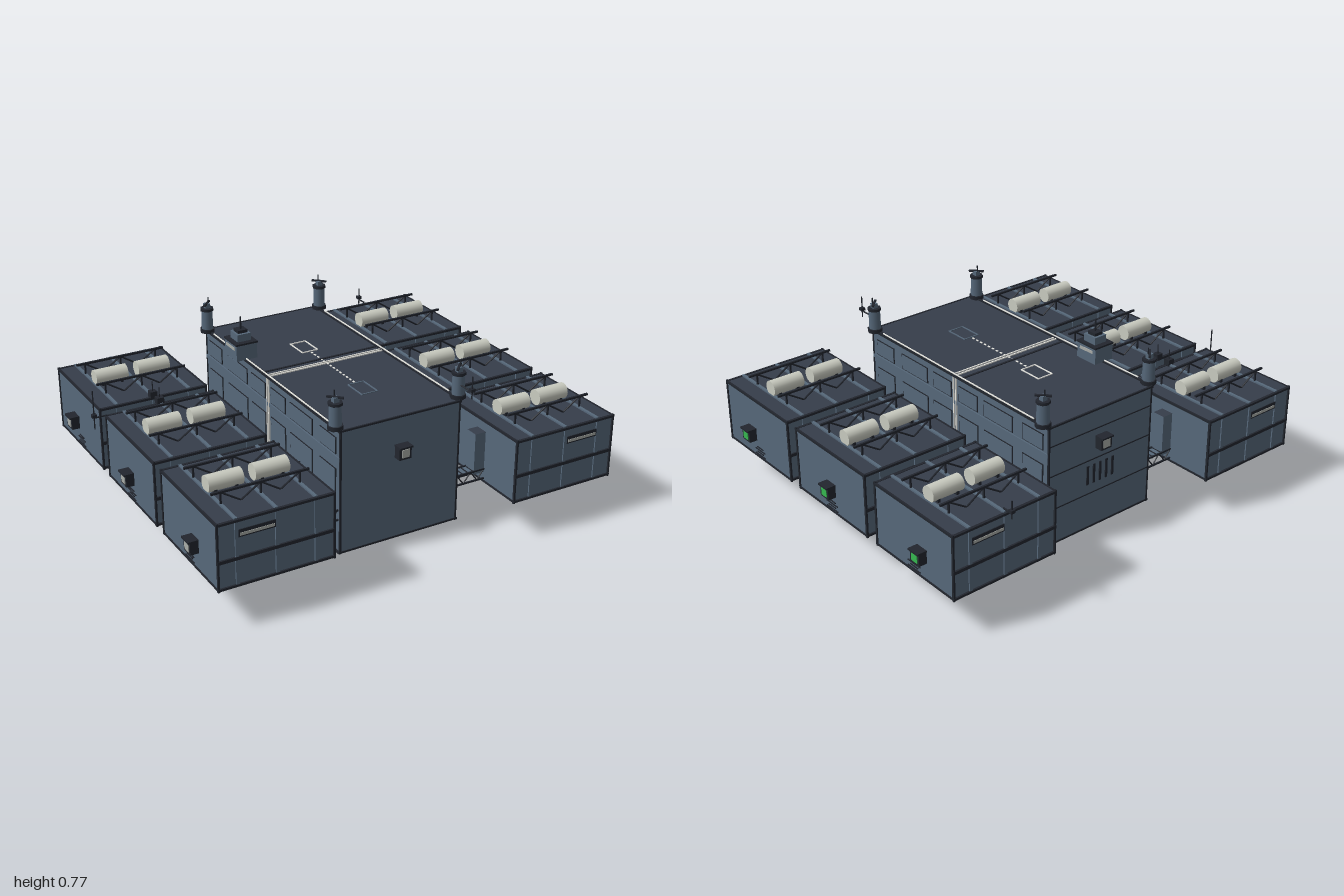
import * as THREE from 'three';

const mat = (name, color) => {
  const m = new THREE.MeshStandardMaterial({ color });
  m.name = name;
  return m;
};
const hull = mat('slate hull', 0x56687a);
const roof = mat('dark plating', 0x363d4a);
const trim = mat('black trim', 0x22262e);
const pale = mat('pale marking', 0xe6e6e0);
const tankMat = mat('tank cream', 0xc9cbc0);
const green = mat('green glass', 0x36b850);
const grey = mat('grey glass', 0xa9aca8);
const plated = [hull, hull, roof, roof, hull, hull]; // dark top and bottom, slate walls

function add(parent, name, geo, material, x, y, z) {
  const m = new THREE.Mesh(geo, material);
  m.name = name;
  m.position.set(x, y, z);
  parent.add(m);
  return m;
}
const box = (p, name, material, w, h, d, x, y, z) =>
  add(p, name, new THREE.BoxGeometry(w, h, d), material, x, y, z);

// Thin bar between two points
function strut(p, name, a, b, r, material = trim) {
  const A = new THREE.Vector3(...a), B = new THREE.Vector3(...b), d = B.clone().sub(A);
  const m = add(p, name, new THREE.CylinderGeometry(r, r, d.length(), 5), material, 0, 0, 0);
  m.position.copy(A).add(B).multiplyScalar(0.5);
  m.quaternion.setFromUnitVectors(new THREE.Vector3(0, 1, 0), d.normalize());
  return m;
}

// Boxed window facing +z, back at z = 0
function windowBox(glass) {
  const g = new THREE.Group();
  g.name = 'windowBox';
  box(g, 'windowHousing', trim, 0.058, 0.055, 0.036, 0, 0, 0.018);
  box(g, 'windowGlass', glass, 0.036, 0.036, 0.004, 0, 0, 0.037);
  box(g, 'windowHood', trim, 0.062, 0.008, 0.045, 0, 0.028, 0.0225);
  return g;
}

// Pod with +x facing outwards
function makePod(side, zEnd) {
  const g = new THREE.Group();
  g.name = 'pod';
  const W = 0.5, L = 0.49, Y0 = 0.17, Y1 = 0.455, H = Y1 - Y0, yc = (Y0 + Y1) / 2;
  box(g, 'podBody', plated, W, H, L, 0, yc, 0);
  for (const s of [-1, 1]) {
    const z = s * (L / 2 + 0.002);
    for (const y of [Y0 + 0.004, 0.292, Y1 - 0.003])
      box(g, 'podBand', trim, W + 0.008, y === 0.292 ? 0.014 : 0.01, 0.012, 0, y, z);
    for (const x of [-0.17, 0, 0.17]) box(g, 'podRib', hull, 0.014, H, 0.008, x, yc, z);
    for (const x of [-0.25, 0.25]) box(g, 'cornerPost', trim, 0.008, H + 0.01, 0.01, x, yc, z);
    box(g, 'slitFrame', trim, 0.156, 0.032, 0.004, 0.085, 0.397, z + s * 0.003);
    box(g, 'slitWindow', grey, 0.146, 0.012, 0.004, 0.085, 0.393, z + s * 0.005);
    box(g, 'sideRim', trim, 0.008, 0.01, L, s * W / 2, Y1 - 0.003, 0);
    box(g, 'sideSill', trim, 0.008, 0.008, L, s * W / 2, Y0 + 0.003, 0);
  }
  // Roof ribs
  for (const x of [-0.17, 0, 0.17]) box(g, 'roofRib', hull, 0.013, 0.008, L, x, Y1 + 0.003, 0);
  // Tank cradle trusses
  for (const z of [-0.12, 0.12]) {
    box(g, 'trussRail', trim, 0.42, 0.009, 0.009, 0, 0.511, z);
    for (let i = 0; i < 4; i++) {
      const x = -0.17 + i * 0.085, up = i % 2;
      strut(g, 'trussDiagonal', [x, up ? 0.455 : 0.51, z], [x + 0.085, up ? 0.51 : 0.455, z], 0.004);
    }
    for (const x of [-0.17, 0, 0.17]) box(g, 'trussPost', trim, 0.007, 0.056, 0.007, x, 0.483, z);
  }
  // Twin tanks with end caps and saddles
  for (const x of [-0.1, 0.1]) {
    const t = add(g, 'tank', new THREE.CylinderGeometry(0.035, 0.035, 0.15, 20), tankMat, x, 0.49, 0);
    t.rotation.z = Math.PI / 2;
    for (const dx of [-0.045, 0.045]) box(g, 'tankSaddle', trim, 0.012, 0.018, 0.06, x + dx, 0.461, 0);
  }
  // Outer window and vent slats
  const w = windowBox(side > 0 ? green : grey);
  w.rotation.y = Math.PI / 2;
  w.position.set(W / 2, 0.277, side > 0 ? zEnd * 0.053 : -zEnd * 0.053);
  g.add(w);
  for (let i = 0; i < 4; i++)
    box(g, 'ventSlat', trim, 0.006, 0.004, i % 2 ? 0.05 : 0.08, W / 2 + 0.001, 0.184 + i * 0.012, 0);
  // Inner door collar and lattice bridge to the core
  box(g, 'doorCollar', plated, 0.055, 0.19, 0.06, -W / 2 - 0.025, 0.31, 0);
  box(g, 'bridgeDeck', hull, 0.14, 0.008, 0.05, -0.32, 0.225, 0);
  for (const z of [-0.03, 0.03]) {
    for (const y of [0.185, 0.23]) box(g, 'bridgeChord', trim, 0.15, 0.007, 0.007, -0.32, y, z);
    for (let i = 0; i < 4; i++) {
      const x = -0.39 + i * 0.035;
      strut(g, 'bridgeBrace', [x, i % 2 ? 0.185 : 0.23, z], [x + 0.035, i % 2 ? 0.23 : 0.185, z], 0.003);
    }
  }
  for (let i = 0; i < 6; i++) box(g, 'bridgeRung', trim, 0.006, 0.01, 0.06, -0.385 + i * 0.027, 0.226, 0);
  return g;
}

// Corner turret with small masts
function makeTurret() {
  const g = new THREE.Group();
  g.name = 'cornerTurret';
  const cyl = (n, r0, r1, h, y, m) => add(g, n, new THREE.CylinderGeometry(r0, r1, h, 8), m, 0, y, 0);
  cyl('turretBase', 0.034, 0.034, 0.018, 0.6, trim);
  cyl('turretBody', 0.026, 0.028, 0.1, 0.65, hull);
  cyl('turretCap', 0.031, 0.031, 0.012, 0.702, trim);
  box(g, 'turretHead', hull, 0.024, 0.022, 0.024, 0, 0.718, 0);
  const arm = box(g, 'turretArm', trim, 0.07, 0.008, 0.01, 0, 0.728, 0);
  arm.rotation.y = Math.PI / 4;
  strut(g, 'turretMast', [0.008, 0.72, 0], [0.008, 0.757, 0], 0.003);
  return g;
}

// Mast on an outrigger arm
function outrigger(p, x, y, z, ax, az, h) {
  strut(p, 'mastArm', [x, y, z], [x + ax, y, z + az], 0.004);
  strut(p, 'mastPole', [x + ax, y - h * 0.3, z + az], [x + ax, y + h * 0.7, z + az], 0.003);
  box(p, 'mastBox', trim, 0.02, 0.014, 0.02, x + ax, y + 0.01, z + az);
}

function makeCore() {
  const g = new THREE.Group();
  g.name = 'core';
  box(g, 'coreBody', plated, 0.57, 0.56, 1.215, 0, 0.31, 0);
  box(g, 'keel', trim, 0.355, 0.03, 0.04, 0, 0.015, -0.025);
  for (const s of [-1, 1]) {
    const x = s * 0.286;
    box(g, 'roofEdge', trim, 0.012, 0.014, 1.222, x, 0.589, 0);
    box(g, 'bottomEdge', trim, 0.012, 0.01, 1.222, x, 0.034, 0);
    box(g, 'roofRail', pale, 0.005, 0.005, 1.04, s * 0.289, 0.598, 0);
    box(g, 'sideBelt', hull, 0.008, 0.016, 1.21, x, 0.46, 0);
    for (const dz of [-0.008, 0.008]) box(g, 'sideSeam', pale, 0.009, 0.55, 0.005, s * 0.287, 0.31, dz);
    // Side panel plates in three rows
    for (const z of [-0.51, -0.29, -0.09, 0.09, 0.29, 0.51])
      for (const [y, h] of [[0.512, 0.075], [0.31, 0.2], [0.115, 0.085]]) {
        const w = Math.abs(z) === 0.29 ? 0.19 : 0.13;
        box(g, 'panelGap', trim, 0.004, h, w, x, y, z);
        box(g, 'sidePanel', hull, 0.008, h - 0.008, w - 0.008, x, y, z);
      }
    for (const c of [-1, 1]) box(g, 'cornerEdge', trim, 0.008, 0.56, 0.008, s * 0.284, 0.31, c * 0.606);
    // End windows and edge trims
    const w = windowBox(grey);
    w.position.set(0, 0.435, s * 0.6075);
    w.rotation.y = s > 0 ? 0 : Math.PI;
    g.add(w);
    for (const y of [0.035, 0.588]) box(g, 'endEdge', trim, 0.57, 0.008, 0.008, 0, y, s * 0.607);
    for (const c of [-1, 1]) {
      const t = makeTurret();
      t.position.set(s * 0.293, 0, c * 0.578);
      t.rotation.y = s * c > 0 ? 0 : Math.PI / 2;
      g.add(t);
    }
  }
  // Rear seams and vents
  for (const y of [0.2, 0.36, 0.5]) box(g, 'rearSeam', trim, 0.56, 0.005, 0.004, 0, y, -0.608);
  for (const x of [-0.07, -0.035, 0, 0.035, 0.07]) box(g, 'rearVent', trim, 0.012, 0.09, 0.006, x, 0.29, -0.608);

  // Roof markings
  for (const z of [-0.008, 0.008]) box(g, 'roofSeam', pale, 0.56, 0.006, 0.006, 0, 0.592, z);
  box(g, 'roofGroove', trim, 0.56, 0.005, 0.01, 0, 0.591, -0.045);
  for (let i = 0; i < 14; i++) box(g, 'roofDash', pale, 0.007, 0.004, 0.014, 0, 0.591, -0.125 + i * 0.0275);
  for (const [z, m] of [[-0.2, pale], [0.305, hull]]) {
    for (const s of [-1, 1]) {
      box(g, 'hatchOutline', m, 0.005, 0.006, 0.115, s * 0.038, 0.591, z);
      box(g, 'hatchOutline', m, 0.08, 0.006, 0.005, 0, 0.591, z + s * 0.056);
    }
  }

  // Stepped control tower
  box(g, 'towerBase', hull, 0.1, 0.075, 0.115, -0.285, 0.63, -0.255);
  box(g, 'towerWindow', grey, 0.104, 0.014, 0.08, -0.285, 0.645, -0.255);
  box(g, 'towerLedge', trim, 0.106, 0.008, 0.12, -0.285, 0.668, -0.255);
  box(g, 'towerTop', hull, 0.065, 0.035, 0.07, -0.285, 0.688, -0.255);
  box(g, 'towerCap', trim, 0.045, 0.014, 0.045, -0.285, 0.712, -0.255);
  strut(g, 'towerMast', [-0.285, 0.71, -0.255], [-0.285, 0.775, -0.255], 0.004);
  return g;
}

export function createModel() {
  const model = new THREE.Group();
  model.name = 'modularStation';
  const base = new THREE.Group();
  base.name = 'station';
  base.position.set(0.02, 0, 0.013);
  model.add(base);
  base.add(makeCore());

  for (const side of [-1, 1]) {
    for (const row of [-1, 0, 1]) {
      const pod = makePod(side, row);
      pod.position.set(side * 0.6825, 0, row * 0.5665);
      if (side < 0) pod.rotation.y = Math.PI;
      base.add(pod);
    }
    // Pipes in the gaps between the pods
    for (const z of [-0.283, 0.283]) {
      strut(base, 'gapPipe', [side * 0.28, 0.31, z], [side * 0.47, 0.31, z], 0.004);
      strut(base, 'gapCable', [side * 0.46, 0.31, z], [side * 0.78, 0.31, z], 0.0025);
    }
  }

  // Sensor masts and small roof boxes
  outrigger(base, -0.9, 0.42, -0.322, -0.06, 0, 0.18);
  outrigger(base, 0.29, 0.655, 0.59, 0, 0.09, 0.1);
  outrigger(base, 0.68, 0.47, -0.8, 0, -0.05, 0.08);
  for (const z of [-0.322, -0.25]) {
    box(base, 'roofBox', trim, 0.032, 0.03, 0.03, -0.685, 0.47, z);
    strut(base, 'roofAerial', [-0.685, 0.48, z], [-0.685, 0.53, z], 0.0025);
  }
  return model;
}
